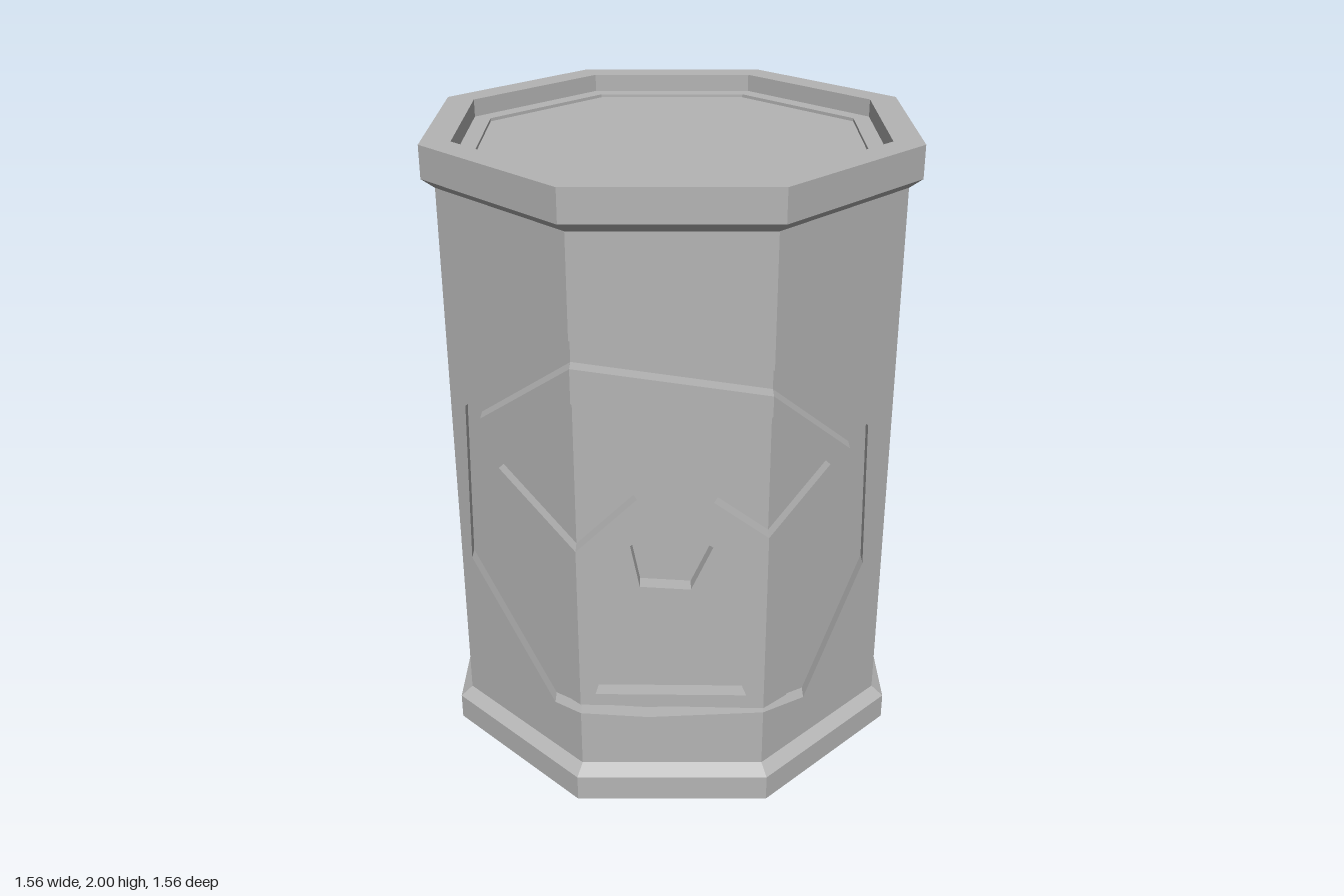
import * as THREE from 'three';

const SIDES = 8;
const R = 0.74;                        // corner radius of the body
const FOLD = R * Math.SQRT1_2;         // x of the diagonal corners
const BOTTOM = 0.115, TOP = 1.87;      // body wall between the two rims
const DEPTH = 0.05;                    // carving depth
const AIM = Math.PI / 8;               // carving is pushed in square to the middle panel

// Carved outlines, counter-clockwise, as x, y on the front panels
const outerEdge = [[-0.72, 0.65], [-0.57, 0.285], [-0.523, 0.307], [-0.33, 0.292], [0, 0.31],
  [0.18, 0.265], [0.43, 0.65], [0.412, 1.15], [0, 1.47], [-0.523, 1.558], [-0.712, 1.2]];
const innerEdge = [[-0.692, 0.66], [-0.55, 0.338], [-0.523, 0.34], [0, 0.326], [0.1, 0.32],
  [0.37 - 0.02, 0.66], [0.335, 1.1], [0, 1.392], [-0.523, 1.475], [-0.685, 1.18]];
const rightEye = [[-0.655, 1.04], [-0.523, 0.89], [-0.355, 1.065], [-0.523, 1.37]];
const leftEye = [[-0.15, 1.055], [0, 0.937], [0.25, 1.08], [0, 1.33]];
const nose = [[-0.375, 0.91], [-0.35, 0.77], [-0.21, 0.76], [-0.15, 0.905], [-0.27, 0.995]];
const mouth = [[-0.48, 0.38], [-0.05, 0.375], [-0.15, 0.65], [-0.405, 0.645]];

// Depth of the octagon wall at x
function wallZ(x) {
  const a = Math.abs(x), t = Math.tan(Math.PI / 8);
  return a <= FOLD ? R - a * t : FOLD - (a - FOLD) / t;
}
const onWall = ([x, y]) => [x, y, wallZ(x)];
function recessed(p) {
  const [x, y, z] = onWall(p);
  return [x + Math.sin(AIM) * DEPTH, y, z - Math.cos(AIM) * DEPTH];
}

function quadsToGeometry(quads) {
  const pos = [];
  for (const [a, b, c, d] of quads) pos.push(...a, ...b, ...c, ...a, ...c, ...d);
  const g = new THREE.BufferGeometry();
  g.setAttribute('position', new THREE.Float32BufferAttribute(pos, 3));
  g.computeVertexNormals();
  return g;
}

// Edges of an outline, cut where the wall folds
function edgesOf(outline) {
  const edges = [];
  outline.forEach((p, i) => {
    const q = outline[(i + 1) % outline.length];
    const cuts = [-FOLD, 0]
      .map(x => (x - p[0]) / (q[0] - p[0]))
      .filter(t => t > 1e-4 && t < 1 - 1e-4)
      .sort((a, b) => a - b);
    const pts = [0, ...cuts, 1].map(t => [p[0] + (q[0] - p[0]) * t, p[1] + (q[1] - p[1]) * t]);
    for (let k = 0; k + 1 < pts.length; k++) edges.push([pts[k], pts[k + 1]]);
  });
  return edges;
}

// Three front panels: columns alternate between wall and carved floor
function carvedPanels() {
  const outlines = [outerEdge, innerEdge, rightEye, leftEye, nose, mouth];
  const edges = outlines.flatMap(edgesOf);
  const xs = [-R, -FOLD, 0, FOLD, ...edges.flat().map(p => p[0])].sort((a, b) => a - b)
    .filter((x, i, all) => i === 0 || x - all[i - 1] > 1e-6);
  const wall = [], floor = [], sides = [];
  for (let i = 0; i + 1 < xs.length; i++) {
    const xa = xs[i], xb = xs[i + 1], xm = (xa + xb) / 2;
    const yAt = ([p, q], x) => p[1] + (q[1] - p[1]) * (x - p[0]) / (q[0] - p[0]);
    const crossed = edges
      .filter(([p, q]) => (p[0] - xm) * (q[0] - xm) < 0)
      .sort((e, f) => yAt(e, xm) - yAt(f, xm));
    const lines = [[BOTTOM, BOTTOM], ...crossed.map(e => [yAt(e, xa), yAt(e, xb)]), [TOP, TOP]];
    for (let k = 0; k + 1 < lines.length; k++) {
      const [lo, hi] = [lines[k], lines[k + 1]];
      const corners = [[xa, lo[0]], [xb, lo[1]], [xb, hi[1]], [xa, hi[0]]];
      if (k % 2) floor.push(corners.map(recessed));
      else wall.push(corners.map(onWall));
    }
  }
  // Side walls of the carving face into the groove or hollow
  for (const outline of outlines) {
    for (const [p, q] of edgesOf(outline)) {
      const [a, b] = outline === innerEdge ? [q, p] : [p, q];
      sides.push([onWall(a), onWall(b), recessed(b), recessed(a)]);
    }
  }
  return { wall, floor, sides };
}

// Flat-sided turned part
function turned(profile, segments = SIDES, start = 0, length = Math.PI * 2) {
  const pts = profile.map(([r, y]) => new THREE.Vector2(r, y));
  const g = new THREE.LatheGeometry(pts, segments, start, length).toNonIndexed();
  g.computeVertexNormals();
  return g;
}

export function createModel() {
  const model = new THREE.Group();
  model.name = 'carvedBarrel';
  const grey = new THREE.MeshStandardMaterial({ color: 0xb4b4b4 });
  grey.name = 'grey';
  const add = (name, geometry) => {
    const mesh = new THREE.Mesh(geometry, grey);
    mesh.name = name;
    model.add(mesh);
  };

  // Base rim with a shallow hollow underneath
  add('baseRim', turned([[0, 0.025], [0.69, 0.025], [0.69, 0], [0.78, 0], [0.78, 0.085], [R, BOTTOM]]));
  // Top rim and sunken lid
  add('topRim', turned([[R, TOP], [0.78, 1.9], [0.78, 2], [0.685, 2], [0.685, 1.945]]));
  add('lid', turned([[0.685, 1.945], [0.628, 1.945], [0.628, 1.935], [0, 1.935]]));
  // Five plain panels around the sides and back
  add('plainPanels', turned([[R, BOTTOM], [R, TOP]], 5, Math.PI / 4, Math.PI * 5 / 4));
  // Three panels with the carved face
  const carved = carvedPanels();
  add('carvedPanels', quadsToGeometry(carved.wall));
  add('carvingFloor', quadsToGeometry(carved.floor));
  add('carvingSides', quadsToGeometry(carved.sides));
  return model;
}
